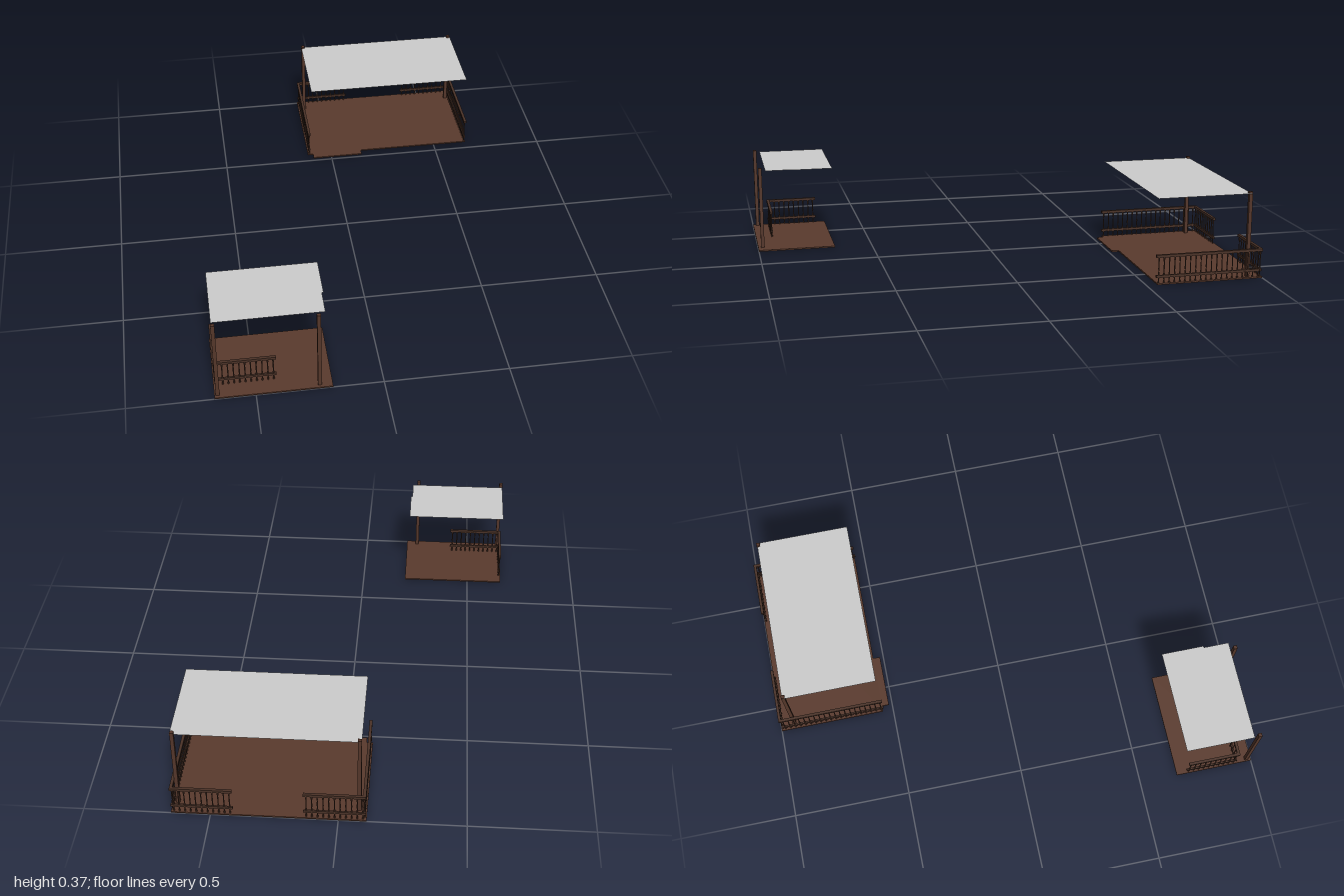
import * as THREE from 'three';

const mat = (name, color, side = THREE.FrontSide) => {
  const m = new THREE.MeshStandardMaterial({ color, side });
  m.name = name;
  return m;
};

export function createModel() {
  const deckWood = mat('deck wood', 0x5a3a2d);
  const postWood = mat('post wood', 0x54362a);
  const railWood = mat('rail wood', 0x4a3227);
  const canopyGrey = mat('canopy grey', 0xcccccc, THREE.DoubleSide);

  const ROOF_Y = 0.357, POST_H = 0.365, DECK_H = 0.006;

  function box(name, material, x0, x1, y0, y1, z0, z1) {
    const mesh = new THREE.Mesh(new THREE.BoxGeometry(x1 - x0, y1 - y0, z1 - z0), material);
    mesh.position.set((x0 + x1) / 2, (y0 + y1) / 2, (z0 + z1) / 2);
    mesh.name = name;
    return mesh;
  }

  // Turned spindle: foot, narrow waist and wider neck
  const balusterGeometry = new THREE.LatheGeometry([
    [0.0034, 0.004], [0.0034, 0.012], [0.002, 0.018], [0.0034, 0.028],
    [0.0034, 0.046], [0.0018, 0.054], [0.0028, 0.068], [0.0018, 0.092],
    [0.0034, 0.1], [0.0034, 0.116],
  ].map(([r, y]) => new THREE.Vector2(r, y)), 8);

  // Railing of a given length, running along x or z from a start point
  function railing(x, z, length, alongZ) {
    const g = new THREE.Group();
    g.name = 'railing';
    g.add(box('topRail', railWood, 0, length, 0.114, 0.125, -0.006, 0.006));
    g.add(box('bottomRail', railWood, 0, length, 0.029, 0.039, -0.004, 0.004));
    const count = Math.round(length / 0.0222);
    for (let i = 0; i < count; i++) {
      const b = new THREE.Mesh(balusterGeometry, railWood);
      b.name = 'baluster';
      b.position.x = (i + 0.5) * length / count;
      g.add(b);
    }
    g.position.set(x, 0, z);
    if (alongZ) g.rotation.y = -Math.PI / 2;
    return g;
  }

  // Floor plate on a shallow grid of joists
  function deck(x0, x1, z0, z1, nx, nz) {
    const g = new THREE.Group();
    g.name = 'deck';
    g.add(box('floor', deckWood, x0, x1, 0.001, DECK_H, z0, z1));
    const w = 0.004;
    for (let i = 0; i <= nx; i++) {
      const x = x0 + (x1 - x0 - w) * i / nx;
      g.add(box('joist', deckWood, x, x + w, 0, 0.002, z0, z1));
    }
    for (let i = 0; i <= nz; i++) {
      const z = z0 + (z1 - z0 - w) * i / nz;
      g.add(box('crossJoist', deckWood, x0, x1, 0, 0.002, z, z + w));
    }
    return g;
  }

  // Flat canopy sheet from [x, z] corners
  function canopy(corners) {
    const shape = new THREE.Shape(corners.map(([x, z]) => new THREE.Vector2(x, -z)));
    const mesh = new THREE.Mesh(new THREE.ShapeGeometry(shape), canopyGrey);
    mesh.rotation.x = -Math.PI / 2;
    mesh.position.y = ROOF_Y;
    mesh.name = 'canopy';
    return mesh;
  }

  const post = (x, z) =>
    box('post', postWood, x - 0.0075, x + 0.0075, 0, POST_H, z - 0.0075, z + 0.0075);

  // Large rear porch
  const rear = new THREE.Group();
  rear.name = 'rearPorch';
  rear.add(
    deck(-0.11, 0.655, -1, -0.545, 5, 3),
    box('step', deckWood, -0.085, 0.145, 0, DECK_H, -0.545, -0.515),
    post(-0.08, -0.94), post(0.635, -0.94),
    railing(-0.107, -0.992, 0.243, false),
    railing(0.412, -0.992, 0.243, false),
    railing(-0.102, -0.993, 0.453, true),
    railing(0.649, -0.993, 0.453, true),
    canopy([[-0.088, -0.545], [0.645, -0.545], [0.645, -0.945], [-0.088, -0.945]]),
  );

  // Small front porch
  const front = new THREE.Group();
  front.name = 'frontPorch';
  front.add(
    deck(-0.66, -0.2, 0.665, 1, 4, 3),
    post(-0.647, 0.98), post(-0.25, 0.98),
    railing(-0.656, 0.928, 0.243, false),
    railing(-0.652, 0.708, 0.225, true),
    canopy([[-0.653, 0.958], [-0.222, 0.958], [-0.222, 0.85], [-0.215, 0.85],
      [-0.215, 0.667], [-0.653, 0.667]]),
  );

  const model = new THREE.Group();
  model.name = 'porches';
  model.add(rear, front);
  return model;
}
